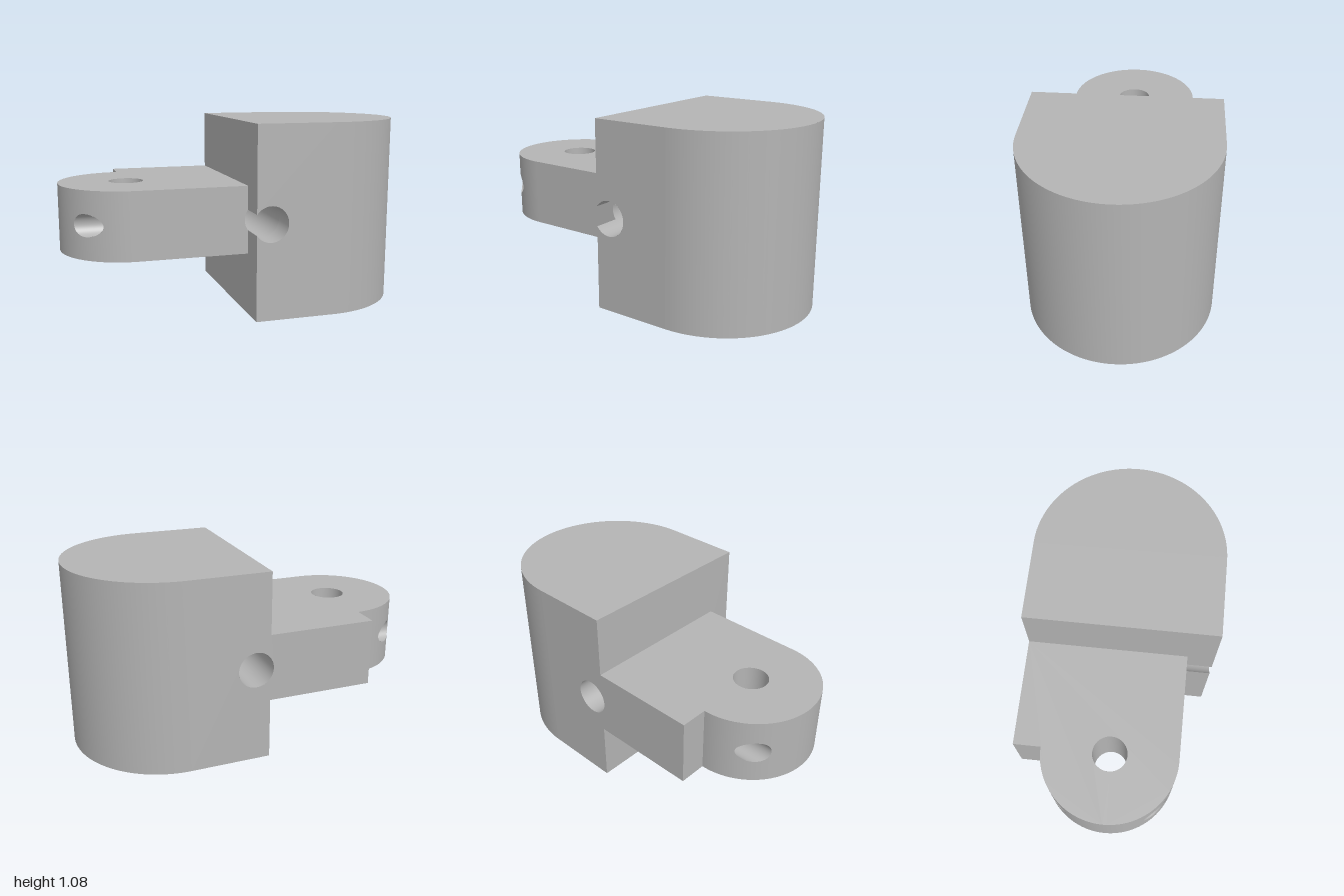
import * as THREE from 'three';
import { mergeVertices } from 'three/addons/utils/BufferGeometryUtils.js';

const H = 1.083, MID = H / 2;            // block height and shared centre line
const W = 0.541;                         // block half depth and nose radius
const R = 0.385, T = 0.192, CX = -0.615; // tongue radius, half thickness, pivot x
const LOW = MID - T, HIGH = MID + T;
const BX = 0.083, BR = 0.101;            // cross bore
const PR = 0.098;                        // pivot hole
const CZ = 0.28, CR = 0.063, CEND = -0.03; // twin channels in the tongue
const CUT = Math.acos(-BX / BR);         // where the cross bore breaks out of the shoulder
const V = (x, y, z) => new THREE.Vector3(x, y, z);

export function createModel() {
  const model = new THREE.Group();
  const grey = new THREE.MeshStandardMaterial({ color: 0xb4b4b4, side: THREE.DoubleSide });
  grey.name = 'grey';

  const add = (name, geometry) => {
    const mesh = new THREE.Mesh(geometry, grey);
    mesh.name = name;
    model.add(mesh);
  };

  // Flat face: a 2D shape placed by a mapping
  const face = (name, shape, place, flip = false) => {
    const g = new THREE.ShapeGeometry(shape, 48);
    const p = g.attributes.position;
    for (let i = 0; i < p.count; i++) p.setXYZ(i, ...place(p.getX(i), p.getY(i)));
    if (flip) g.index.array.reverse();
    g.computeVertexNormals();
    add(name, g);
  };

  // Ruled surface between two edges sampled over t = a..b
  const ruled = (name, edge0, edge1, a, b, n = 32) => {
    const pts = [], idx = [];
    for (let i = 0; i <= n; i++) {
      const t = a + (b - a) * i / n;
      pts.push(edge0(t), edge1(t));
      if (i < n) idx.push(2 * i, 2 * i + 2, 2 * i + 1, 2 * i + 1, 2 * i + 2, 2 * i + 3);
    }
    let g = new THREE.BufferGeometry().setFromPoints(pts);
    g.setIndex(idx);
    g = mergeVertices(g, 1e-5);
    g.computeVertexNormals();
    add(name, g);
  };

  const polygon = (...pts) => new THREE.Shape(pts.map(p => new THREE.Vector2(...p)));
  const circle = (x, y, r) => new THREE.Path().absarc(x, y, r, 0, Math.PI * 2, true);

  // Block: D-shaped ends and rounded nose
  const dShape = polygon([0, W], [0, -W], [1 - W, -W]);
  dShape.absarc(1 - W, 0, W, -Math.PI / 2, Math.PI / 2, false);
  face('blockTop', dShape, (x, z) => [x, H, z], true);
  face('blockBottom', dShape, (x, z) => [x, 0, z]);
  const nose = y => t => V(1 - W + W * Math.cos(t), y, W * Math.sin(t));
  ruled('blockNose', nose(0), nose(H), Math.PI / 2, -Math.PI / 2, 64);

  // Front wall of the block, with the bore breaking its inner edge
  const front = polygon([0, 0], [1 - W, 0], [1 - W, H], [0, H], [0, MID + BR * Math.sin(CUT)]);
  front.absarc(BX, MID, BR, CUT, -CUT, true);
  face('blockFront', front, (x, y) => [x, y, W]);

  // Back wall, shared by block and tongue
  const back = polygon([0, 0], [1 - W, 0], [1 - W, H], [0, H], [0, HIGH], [CX, HIGH], [CX, LOW], [0, LOW]);
  back.holes.push(circle(BX, MID, BR));
  face('backWall', back, (x, y) => [x, y, -W], true);

  // Shoulder around the tongue, with the bore slot (u = z, v = y)
  const s = BR * Math.sin(CUT);
  const shoulder = polygon([-W, 0], [W, 0], [W, MID - s], [R, MID - s], [R, LOW], [-W, LOW]);
  face('shoulderLower', shoulder, (z, y) => [0, y, z]);
  face('shoulderUpper', shoulder, (z, y) => [0, H - y, z], true);

  // Tongue plates with the pivot hole (u = x, v = z)
  const plate = polygon([0, -W], [0, R], [CX, R]);
  plate.absarc(CX, 0, R, Math.PI / 2, Math.PI * 1.5, false);
  plate.lineTo(CX, -W);
  plate.holes.push(circle(CX, 0, PR));
  face('tongueTop', plate, (x, z) => [x, HIGH, z], true);
  face('tongueBottom', plate, (x, z) => [x, LOW, z]);
  face('tongueStep', polygon([-W, LOW], [-R, LOW], [-R, HIGH], [-W, HIGH]), (z, y) => [CX, y, z]);

  // Tongue front wall, notched by the bore
  const side = polygon([CX, LOW], [0, LOW], [0, MID - s]);
  side.absarc(BX, MID, BR, -CUT, -2 * Math.PI + CUT, true);
  side.lineTo(0, HIGH);
  side.lineTo(CX, HIGH);
  face('tongueFront', side, (x, y) => [x, y, R]);

  // Rounded tongue end, split around the channel mouths
  const endX = z => CX - Math.sqrt(Math.max(0, R * R - z * z));
  const end = y => t => V(CX - R * Math.cos(t), y, R * Math.sin(t));
  const inner = Math.asin((CZ - CR) / R), outer = Math.asin((CZ + CR) / R);
  ruled('tongueEnd', end(LOW), end(HIGH), -inner, inner);
  for (const m of [1, -1]) {
    const label = m > 0 ? 'front' : 'back';
    ruled(label + 'EndCorner', end(LOW), end(HIGH),
      m > 0 ? outer : -Math.PI / 2, m > 0 ? Math.PI / 2 : -outer, 16);

    const zAt = t => m * (CZ - CR * Math.cos(t));
    const level = y => t => V(endX(zAt(t)), y, zAt(t));
    const rim = k => t => V(endX(zAt(t)), MID + k * CR * Math.sin(t), zAt(t));
    const from = m > 0 ? 0 : Math.PI, to = Math.PI - from;
    ruled(label + 'EndAboveChannel', rim(1), level(HIGH), from, to);
    ruled(label + 'EndBelowChannel', level(LOW), rim(-1), from, to);

    // Channel bore running lengthwise
    const deep = t => V(CEND, MID + CR * Math.sin(t), zAt(t));
    ruled(label + 'Channel', rim(1), deep, to * 2, from * 2, 48);
    face(label + 'ChannelEnd', new THREE.Shape().absarc(m * CZ, MID, CR, 0, Math.PI * 2),
      (z, y) => [CEND, y, z]);
  }

  // Pivot hole lining
  const pivot = y => t => V(CX + PR * Math.cos(t), y, PR * Math.sin(t));
  ruled('pivotHole', pivot(LOW), pivot(HIGH), 0, Math.PI * 2, 48);

  // Cross bore lining: full through the tongue, partial in front of it
  const bore = z => t => V(BX + BR * Math.cos(t), MID + BR * Math.sin(t), z);
  ruled('crossBore', bore(-W), bore(R), 0, Math.PI * 2, 48);
  ruled('crossBoreMouth', bore(R), bore(W), -CUT, CUT, 40);

  return model;
}
